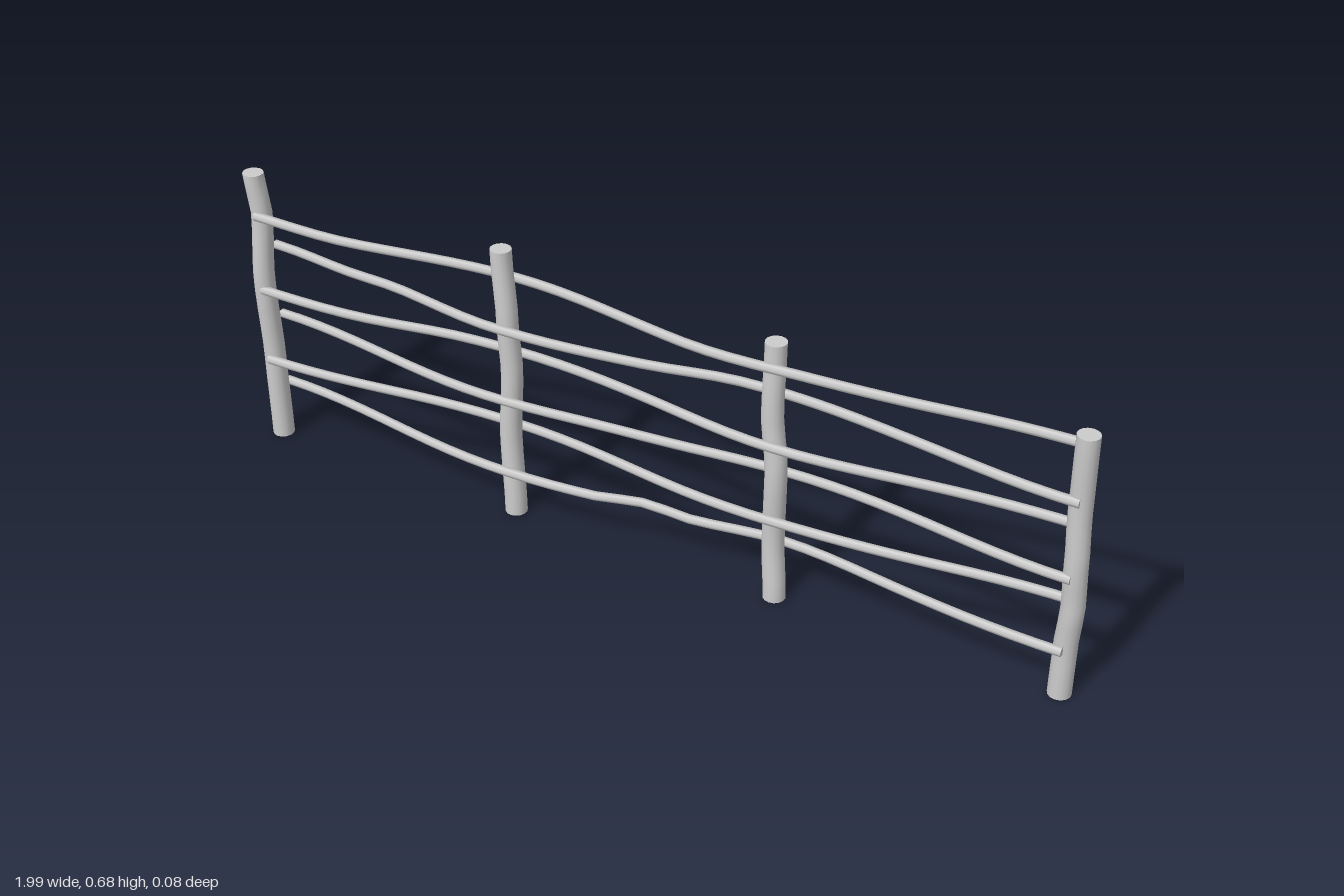
import * as THREE from 'three';

// Smooth curve through a few [along, offset, offset] points
const path = (points) => new THREE.CatmullRomCurve3(points.map((p) => new THREE.Vector3(...p)));

// Bend an upright cylinder: centre(y) gives its sideways offset [x, z] at each height
function bend(geometry, centre) {
  const pos = geometry.attributes.position, nor = geometry.attributes.normal;
  const n = new THREE.Vector3(), e = 0.005;
  for (let i = 0; i < pos.count; i++) {
    const y = pos.getY(i), [cx, cz] = centre(y);
    const a = centre(y - e), b = centre(y + e);
    n.fromBufferAttribute(nor, i);
    if (Math.abs(n.y) < 0.9) {
      n.y -= (n.x * (b[0] - a[0]) + n.z * (b[1] - a[1])) / (2 * e);
      n.normalize();
      nor.setXYZ(i, n.x, n.y, n.z);
    }
    pos.setXYZ(i, pos.getX(i) + cx, y, pos.getZ(i) + cz);
  }
  return geometry;
}

// Smooth interpolation between [key, ...values] rows
function sampler(rows) {
  return (k) => {
    let i = 0;
    while (i < rows.length - 2 && k > rows[i + 1][0]) i++;
    const a = rows[i], b = rows[i + 1];
    const t = THREE.MathUtils.smoothstep(k, a[0], b[0]);
    return a.slice(1).map((v, j) => v + (b[j + 1] - v) * t);
  };
}

export function createModel() {
  const fence = new THREE.Group();
  fence.name = 'wovenFence';
  const wood = new THREE.MeshStandardMaterial({ color: 0xcccccc });
  wood.name = 'paleGreyWood';

  // Crooked posts: rows of [y, x, z] from ground to top
  const posts = [
    [[0, -0.97, 0], [0.2, -0.972, 0.002], [0.42, -0.972, 0.014], [0.58, -0.966, 0.008], [0.68, -0.976, 0.013]],
    [[0, -0.323, 0], [0.2, -0.333, -0.004], [0.36, -0.325, -0.004], [0.48, -0.33, 0], [0.655, -0.342, -0.002]],
    [[0, 0.322, 0], [0.14, 0.312, -0.006], [0.32, 0.318, 0.004], [0.46, 0.304, 0.002], [0.62, 0.304, -0.004]],
    [[0, 0.963, 0], [0.12, 0.964, 0], [0.22, 0.971, 0.005], [0.32, 0.969, 0.01], [0.45, 0.963, 0.008], [0.625, 0.964, 0.015]],
  ];
  posts.forEach((rows, i) => {
    const height = rows[rows.length - 1][0];
    const geometry = new THREE.CylinderGeometry(0.0235, 0.025, height, 14, 14);
    geometry.translate(0, height / 2, 0);
    const post = new THREE.Mesh(bend(geometry, sampler(rows)), wood);
    post.name = `post${i + 1}`;
    fence.add(post);
  });

  // Rods woven alternately before and behind the posts: rows of [x, y], bottom to top
  const rods = [
    [[-0.97, 0.127], [-0.4, 0.118], [-0.12, 0.119], [0, 0.13], [0.12, 0.115], [0.33, 0.126], [0.6, 0.119], [0.97, 0.125]],
    [[-0.97, 0.214], [-0.6, 0.212], [-0.3, 0.208], [0.05, 0.206], [0.4, 0.214], [0.7, 0.21], [0.97, 0.21]],
    [[-0.97, 0.306], [-0.5, 0.299], [-0.15, 0.305], [0.12, 0.297], [0.6, 0.306], [0.97, 0.301]],
    [[-0.97, 0.396], [-0.7, 0.388], [-0.45, 0.394], [0, 0.399], [0.3, 0.392], [0.6, 0.395], [0.97, 0.389]],
    [[-0.97, 0.484], [-0.78, 0.478], [-0.6, 0.488], [-0.35, 0.478], [0, 0.478], [0.22, 0.488], [0.6, 0.484], [0.97, 0.48]],
    [[-0.97, 0.582], [-0.72, 0.571], [-0.3, 0.577], [0.1, 0.568], [0.4, 0.58], [0.7, 0.575], [0.97, 0.573]],
  ];
  const spacing = 0.645;
  rods.forEach((rows, i) => {
    const heightAt = sampler(rows), side = i % 2 ? 1 : -1;
    const geometry = new THREE.CylinderGeometry(0.0105, 0.0105, 1.935, 6, 36);
    // Bent upright, then laid along x
    bend(geometry, (s) => [
      -heightAt(s)[0],
      side * 0.03 * Math.cos((Math.PI * (s + 0.9675)) / spacing),
    ]);
    geometry.rotateZ(-Math.PI / 2);
    const rod = new THREE.Mesh(geometry, wood);
    rod.name = `rod${i + 1}`;
    fence.add(rod);
  });

  return fence;
}
